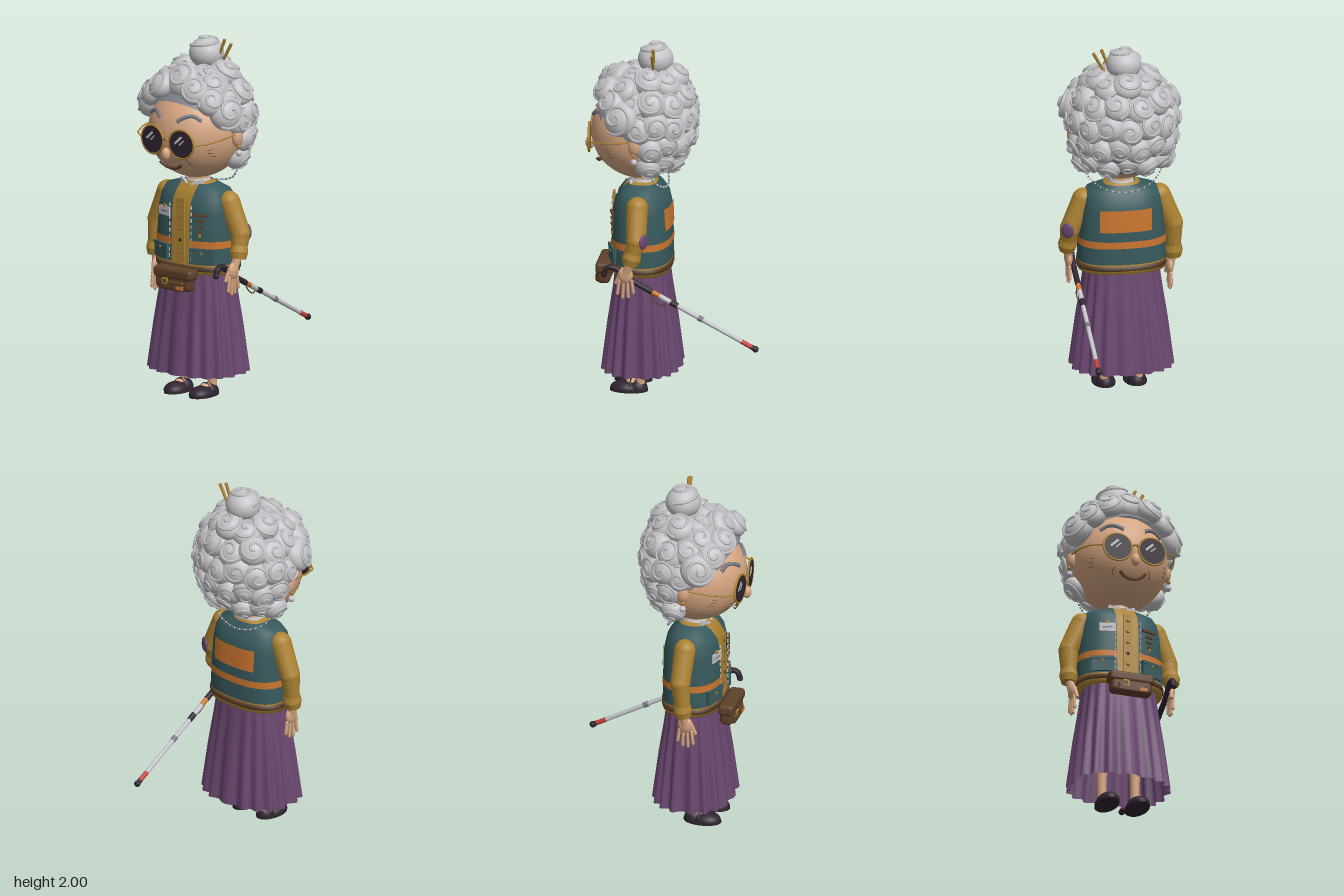
import * as THREE from 'three';
import { RoundedBoxGeometry } from 'three/addons/geometries/RoundedBoxGeometry.js';

const mat = (name, color, side = THREE.FrontSide) => {
  const m = new THREE.MeshStandardMaterial({ color, side });
  m.name = name;
  return m;
};

export function createModel() {
  const D = THREE.DoubleSide;
  const hair = mat('silver', 0xc4c4c8), slate = mat('slate grey', 0x7d7d88), skin = mat('skin', 0xd6a682);
  const teal = mat('teal', 0x37595c, D), mustard = mat('mustard', 0xae8433, D), purple = mat('purple', 0x6b4870, D);
  const dark = mat('dark plum', 0x2f2430), brown = mat('brown', 0x5e4029), orange = mat('orange', 0xcb7630), red = mat('red', 0xc4403a);
  const model = new THREE.Group(), root = new THREE.Group();
  model.name = 'grandmother';
  root.name = 'figure';
  root.position.x = -0.008;
  model.add(root);
  const V = (x, y, z) => new THREE.Vector3(x, y, z);
  const CZ = 0.18; // body axis

  const add = (name, geo, m, x = 0, y = 0, z = 0, parent = root) => {
    const mesh = new THREE.Mesh(geo, m);
    mesh.name = name;
    mesh.position.set(x, y, z);
    parent.add(mesh);
    return mesh;
  };
  const box = (name, w, h, d, m, x, y, z, ry = 0) => {
    const b = add(name, new THREE.BoxGeometry(w, h, d), m, x, y, z);
    b.rotation.y = ry;
    return b;
  };
  const softBox = (name, w, h, d, r, m, x, y, z) => add(name, new RoundedBoxGeometry(w, h, d, 3, r), m, x, y, z);
  const ball = (name, r, m, x, y, z, sx = 1, sy = 1, sz = 1) => {
    const s = add(name, new THREE.SphereGeometry(r, 20, 14), m, x, y, z);
    s.scale.set(sx, sy, sz);
    return s;
  };
  const rod = (name, a, b, ra, rb, m, sides = 12) => {
    const c = add(name, new THREE.CylinderGeometry(rb, ra, a.distanceTo(b), sides), m);
    c.position.copy(a).add(b).multiplyScalar(0.5);
    c.quaternion.setFromUnitVectors(V(0, 1, 0), b.clone().sub(a).normalize());
    return c;
  };
  const tube = (name, pts, r, m, n = 20, sides = 6) =>
    add(name, new THREE.TubeGeometry(new THREE.CatmullRomCurve3(pts), n, r, sides), m);

  // Rounded sections [y, rx, rz, pleat]; gap leaves a front opening, patch keeps only the back
  const P = 2.5;
  const loft = (name, rows, m, { gap = 0, patch = false, seg = 64, pleats = 0 } = {}) => {
    const pos = [], idx = [];
    rows.forEach(([y, rx, rz, amp = 0]) => {
      const e = Math.asin(Math.pow(Math.min(1, gap / rx), P / 2));
      const a0 = patch ? Math.PI - e : e, a1 = patch ? Math.PI + e : 2 * Math.PI - e;
      for (let j = 0; j <= seg; j++) {
        const a = a0 + (a1 - a0) * j / seg, s = Math.sin(a), c = Math.cos(a);
        const k = 1 + amp * Math.cos(pleats * a);
        pos.push(k * rx * Math.sign(s) * Math.abs(s) ** (2 / P), y, CZ + k * rz * Math.sign(c) * Math.abs(c) ** (2 / P));
      }
    });
    for (let i = 0; i < rows.length - 1; i++) for (let j = 0; j < seg; j++) {
      const a = i * (seg + 1) + j, b = a + seg + 1;
      idx.push(a, a + 1, b, a + 1, b + 1, b);
    }
    const g = new THREE.BufferGeometry();
    g.setAttribute('position', new THREE.Float32BufferAttribute(pos, 3));
    g.setIndex(idx);
    g.computeVertexNormals();
    return add(name, g, m);
  };

  // Clothes
  loft('skirt', [[0.13, 0.275, 0.214, 0.055], [0.4, 0.245, 0.184, 0.04], [0.6, 0.218, 0.157, 0.025], [0.72, 0.205, 0.145, 0.01]],
    purple, { pleats: 18, seg: 162 });
  loft('cardigan', [[0.705, 0.2, 0.14], [0.705, 0.243, 0.165], [0.74, 0.243, 0.165], [0.77, 0.238, 0.16], [0.95, 0.225, 0.156], [1.1, 0.205, 0.14], [1.165, 0.17, 0.105], [1.205, 0.075, 0.07]], mustard);
  loft('belt', [[0.722, 0.23, 0.15], [0.724, 0.249, 0.17], [0.75, 0.249, 0.17], [0.752, 0.23, 0.15]], brown);
  loft('vest', [[0.76, 0.245, 0.166], [0.9, 0.24, 0.165], [1.05, 0.227, 0.16], [1.12, 0.215, 0.145], [1.165, 0.195, 0.112], [1.195, 0.1, 0.085]], teal, { gap: 0.062 });
  loft('vestStripe', [[0.855, 0.246, 0.169], [0.895, 0.245, 0.169]], orange, { gap: 0.062 });
  loft('backPanel', [[0.95, 0.242, 0.168], [1.075, 0.23, 0.163]], orange, { gap: 0.145, patch: true, seg: 20 });
  const vestZ = x => CZ + 0.164 * (1 - (Math.abs(x) / 0.24) ** P) ** (1 / P);
  const onVest = (name, w, h, d, m, x, y) =>
    box(name, w, h, d, m, x, y, vestZ(x) + 0.001, Math.atan((vestZ(x - 0.01) - vestZ(x + 0.01)) / 0.02));
  box('placket', 0.055, 0.37, 0.008, mustard, 0, 0.94, 0.341);
  for (let i = 0; i < 5; i++) ball('button', 0.01, i === 1 ? dark : brown, 0, 0.822 + i * 0.066, 0.345, 1, 1, 0.5);
  for (let i = 0; i < 5; i++) if (i !== 1) ball('buttonFace', 0.0075, mustard, 0, 0.822 + i * 0.066, 0.349, 1, 1, 0.5);
  for (const s of [-1, 1]) {
    onVest('pocket', 0.125, 0.085, 0.02, teal, s * 0.14, 0.81);
    onVest('pocketFlap', 0.13, 0.018, 0.028, teal, s * 0.14, 0.845);
    onVest('pocketStud', 0.01, 0.012, 0.034, mustard, s * 0.14, 0.83);
    for (let i = 0; i < 9; i++) onVest('stitch', 0.004, 0.02, 0.008, hair, s * 0.074, 0.79 + i * 0.036);
    const collar = box('collar', 0.07, 0.026, 0.016, hair, s * 0.045, 1.194, 0.248, s * 0.45);
    collar.rotation.z = s * 0.35;
  }
  onVest('nameCard', 0.09, 0.05, 0.009, hair, -0.115, 1.035);
  onVest('cardBar', 0.055, 0.008, 0.011, slate, -0.115, 1.034);
  onVest('cardClip', 0.02, 0.015, 0.012, mustard, -0.115, 1.064);
  [[0.085, 1.04], [0.04, 1.008], [0.032, 0.975], [0.016, 0.945]].forEach(([w, y]) => onVest('chestTrim', w, 0.013, 0.014, brown, 0.127, y));
  onVest('pendant', 0.012, 0.026, 0.012, mustard, 0.127, 0.93);
  add('collarBand', new THREE.CylinderGeometry(0.064, 0.078, 0.04, 24), hair, 0, 1.195, CZ);
  add('neck', new THREE.CylinderGeometry(0.056, 0.06, 0.12, 20), skin, 0, 1.23, CZ);

  // Waist bag
  softBox('bag', 0.24, 0.115, 0.075, 0.025, brown, 0, 0.675, 0.385);
  softBox('bagFlap', 0.262, 0.062, 0.086, 0.02, brown, 0, 0.71, 0.385);
  softBox('bagPocket', 0.17, 0.055, 0.03, 0.012, brown, 0, 0.645, 0.417);
  box('bagBuckle', 0.036, 0.036, 0.009, mustard, -0.04, 0.667, 0.43);
  box('bagBuckleCentre', 0.02, 0.02, 0.012, brown, -0.04, 0.667, 0.43);
  box('bagTag', 0.045, 0.02, 0.008, orange, 0.06, 0.638, 0.431);

  // Arms and hands; the left one reaches forward to the cane
  const arm = (s, wrist, palm) => {
    const shoulder = V(s * 0.214, 1.105, CZ), elbow = V(s * 0.288, 0.935, CZ - 0.005);
    ball('shoulder', 0.06, mustard, shoulder.x, shoulder.y, shoulder.z);
    rod('upperSleeve', shoulder, elbow, 0.06, 0.056, mustard);
    ball('elbow', 0.056, mustard, elbow.x, elbow.y, elbow.z);
    rod('lowerSleeve', elbow, wrist, 0.056, 0.041, mustard);
    const dir = wrist.clone().sub(elbow).normalize();
    const along = d => wrist.clone().addScaledVector(dir, d);
    rod('cuff', along(-0.035), along(0), 0.047, 0.053, mustard, 10);
    rod('cuff', along(0), along(0.038), 0.053, 0.043, mustard, 10);
    rod('wrist', wrist, palm, 0.024, 0.024, skin);
    ball('palm', 0.042, skin, palm.x, palm.y, palm.z, 0.5, 1.15, 1);
    for (let i = 0; i < 4; i++) {
      const z = palm.z - 0.03 + i * 0.02, len = [0.095, 0.12, 0.125, 0.105][i];
      const f = add('finger', new THREE.CapsuleGeometry(0.0095, len - 0.03, 4, 8), skin, palm.x, palm.y - 0.02 - len / 2, z + (i - 1.5) * 0.006);
      f.rotation.x = -(i - 1.5) * 0.09;
    }
    rod('thumb', palm.clone().add(V(-s * 0.005, 0.015, 0.025)), palm.clone().add(V(-s * 0.012, -0.055, 0.055)), 0.013, 0.01, skin);
  };
  arm(-1, V(-0.292, 0.77, 0.19), V(-0.275, 0.675, 0.2));
  arm(1, V(0.297, 0.835, 0.2), V(0.285, 0.735, 0.235));
  ball('elbowPatch', 0.043, purple, 0.308, 0.94, 0.131, 0.3, 1, 0.85).rotation.y = 1.05;

  // Legs and shoes
  for (const s of [-1, 1]) {
    const x = s * 0.088, dome = new THREE.SphereGeometry(1, 24, 10, 0, Math.PI * 2, 0, Math.PI / 2);
    add('leg', new THREE.CylinderGeometry(0.03, 0.025, 0.32, 16), skin, x + s * 0.008, 0.2, 0.18);
    const sole = new THREE.Shape().absellipse(0, 0, 0.064, 0.106, 0, Math.PI * 2);
    add('sole', new THREE.ExtrudeGeometry(sole, { depth: 0.012, bevelEnabled: false, curveSegments: 24 }), dark, x, 0, 0.244).rotation.x = -Math.PI / 2;
    add('shoeToe', dome, dark, x, 0.011, 0.265).scale.set(0.063, 0.046, 0.083);
    add('shoeHeel', dome, dark, x, 0.011, 0.195).scale.set(0.05, 0.055, 0.055);
    ball('instep', 0.03, skin, x, 0.051, 0.228, 0.95, 0.55, 1.1);
    tube('shoeStrap', [V(x - 0.05, 0.03, 0.232), V(x, 0.068, 0.232), V(x + 0.05, 0.03, 0.232)], 0.006, dark);
  }

  // Head and face
  const HY = 1.49, HZ = 0.19;
  const head = add('head', new THREE.SphereGeometry(1, 40, 28), skin, 0, HY, HZ);
  head.scale.set(0.268, 0.268, 0.275);
  const faceLine = (name, pts, off, r, m) => tube(name, pts.map(([x, y]) =>
    V(x, y, HZ + 0.275 * Math.sqrt(1 - (x / 0.268) ** 2 - ((y - HY) / 0.268) ** 2) + off)), r, m, 14);
  faceLine('mouth', [[-0.075, 1.342], [-0.045, 1.318], [0, 1.308], [0.045, 1.318], [0.075, 1.342]], 0.022, 0.009, brown);
  ball('nose', 0.026, skin, 0, 1.4, 0.473, 0.95, 1.4, 1);
  for (const s of [-1, 1]) {
    faceLine('eyebrow', [[s * 0.055, 1.585], [s * 0.09, 1.61], [s * 0.13, 1.618], [s * 0.175, 1.592]], 0.005, 0.012, slate);
    faceLine('cheekFold', [[s * 0.095, 1.372], [s * 0.108, 1.35], [s * 0.103, 1.33]], 0, 0.0018, brown);
    for (let i = 0; i < 3; i++) faceLine('wrinkle', [[s * 0.2, 1.43 - i * 0.02], [s * 0.21, 1.43 - i * 0.021], [s * 0.22, 1.433 - i * 0.023]], 0, 0.0016, brown);
    ball('ear', 0.042, skin, s * 0.275, 1.48, 0.185, 0.65, 1.25, 0.9);
    ball('earStud', 0.011, mustard, s * 0.29, 1.43, 0.19);
    ball('earring', 0.018, hair, s * 0.287, 1.393, 0.188);

    // Round dark glasses
    const lens = new THREE.Group();
    lens.name = 'lens';
    lens.position.set(s * 0.1, 1.467, 0.463);
    lens.rotation.y = s * 0.1;
    root.add(lens);
    add('rim', new THREE.TorusGeometry(0.08, 0.0065, 8, 32), mustard, 0, 0, 0, lens);
    add('glass', new THREE.CylinderGeometry(0.079, 0.079, 0.009, 32), dark, 0, 0, 0, lens).rotation.x = Math.PI / 2;
    [[-0.018, 0.022, 0.06, 0.013], [0.004, 0.01, 0.042, 0.007]].forEach(([x, y, w, h]) => {
      add('glint', new THREE.BoxGeometry(w, h, 0.002), hair, x, y, 0.0055, lens).rotation.z = 0.75;
    });
    const temple = [V(s * 0.185, 1.47, 0.458), V(s * 0.24, 1.478, 0.415), V(s * 0.272, 1.49, 0.33), V(s * 0.285, 1.505, 0.18)];
    for (let i = 0; i < 3; i++) rod('temple', temple[i], temple[i + 1], 0.0045, 0.0045, mustard, 8);
  }
  tube('bridge', [V(-0.022, 1.475, 0.47), V(0, 1.488, 0.478), V(0.022, 1.475, 0.47)], 0.006, mustard);

  // Beaded glasses chain hanging behind the neck
  const chain = new THREE.CatmullRomCurve3([V(-0.27, 1.4, 0.14), V(-0.19, 1.25, 0.09), V(-0.12, 1.2, 0.055), V(0, 1.175, 0.04), V(0.12, 1.2, 0.055), V(0.19, 1.25, 0.09), V(0.27, 1.4, 0.14)]);
  chain.getSpacedPoints(44).forEach((p, i) => add('chainBead', new THREE.SphereGeometry(0.0058, 8, 6), i % 2 ? slate : hair, p.x, p.y, p.z));

  // Hair: a tilted cap covered in spiral curls
  const capGeo = new THREE.SphereGeometry(0.277, 32, 16, 0, Math.PI * 2, 0, Math.PI / 2).rotateX(-Math.PI / 4);
  add('hairCap', capGeo, slate, 0, HY, HZ + 0.02).scale.z = 1.08;
  let count = 0;
  const curl = (x, y, z, r, normal, depth = 0.74, name = 'curl') => {
    const g = new THREE.Group();
    g.name = name;
    g.position.set(x, y, z);
    g.quaternion.setFromUnitVectors(V(0, 0, 1), normal.normalize());
    g.rotateZ(count * 2.4);
    root.add(g);
    add('curlBody', new THREE.SphereGeometry(r, 16, 12), hair, 0, 0, 0, g).scale.z = depth;
    const dir = count++ % 2 ? 1 : -1, pts = [];
    for (let i = 0; i <= 20; i++) {
      const t = i / 20, a = dir * t * 3.3 * Math.PI, q = r * (0.1 + 0.86 * t);
      pts.push(V(q * Math.cos(a), q * Math.sin(a), depth * Math.sqrt(r * r - q * q)));
    }
    add('curlSpiral', new THREE.TubeGeometry(new THREE.CatmullRomCurve3(pts), 32, r * 0.1, 5), hair, 0, 0, 0, g);
  };
  const outward = (x, y, z) => V(x, y - 1.53, z - 0.15);
  [[1.785, 0.135, 0.135, 7, 50, 0.085], [1.685, 0.222, 0.185, 8, 70, 0.085], [1.57, 0.26, 0.208, 9, 82, 0.083],
    [1.45, 0.254, 0.2, 8, 100, 0.077], [1.345, 0.228, 0.155, 7, 98, 0.072]].forEach(([y, rx, rz, n, from, r]) => {
    for (let i = 0; i < n; i++) {
      const a = THREE.MathUtils.degToRad(from + (360 - 2 * from) * i / (n - 1));
      const x = rx * Math.sin(a), z = 0.138 + rz * Math.cos(a), dy = (i % 2) * 0.025;
      curl(x, y + dy, z, r, outward(x, y, z));
    }
  });
  curl(0, 1.785, 0.315, 0.095, V(0, 0.9, 1));
  for (const s of [-1, 1]) {
    [[0.115, 1.75, 0.362, 0.08], [0.155, 1.76, 0.25, 0.085], [0.2, 1.695, 0.325, 0.082], [0.257, 1.63, 0.265, 0.098], [0.07, 1.8, 0.22, 0.08]]
      .forEach(([x, y, z, r]) => curl(s * x, y, z, r, outward(s * x, y, z)));
  }

  // Bun and its two sticks
  curl(0, 1.905, 0.108, 0.098, V(0, 1, 0), 0.9, 'bun');
  rod('hairStick', V(0.06, 1.78, 0.105), V(0.17, 1.978, 0.105), 0.007, 0.009, mustard, 8);
  rod('hairStick', V(0.045, 1.8, 0.105), V(0.125, 1.996, 0.105), 0.007, 0.009, mustard, 8);

  // Folding cane trailing behind, as bands along one line
  const CX = 0.26;
  const at = z => V(CX + (z - 0.2) * 0.018, 0.325 + (z + 0.485) * 0.538, z);
  [[-0.485, -0.46, 0.014, dark], [-0.46, -0.405, 0.0135, red], [-0.405, -0.19, 0.0125, hair], [-0.19, -0.165, 0.016, slate], [-0.165, -0.05, 0.0125, hair],
    [-0.05, -0.01, 0.016, dark], [-0.01, 0.05, 0.0145, hair], [0.05, 0.09, 0.0145, orange], [0.09, 0.2, 0.016, dark]].forEach(([a, b, r, m]) => rod('caneSection', at(a), at(b), r, r, m));
  ball('caneTip', 0.018, dark, at(-0.482).x, at(-0.482).y, -0.482);
  tube('caneHandle', [at(0.19), V(CX, 0.73, 0.25), V(CX, 0.765, 0.3), V(CX, 0.762, 0.342), V(CX, 0.725, 0.358)], 0.016, dark, 24, 10);
  ball('caneHandleEnd', 0.017, dark, CX, 0.724, 0.358);
  tube('wristStrap', [at(0.1), V(CX + 0.01, 0.59, 0.08), V(CX + 0.006, 0.565, 0.03), V(CX - 0.002, 0.575, 0.01), at(0.04)], 0.0035, brown);

  return model;
}
